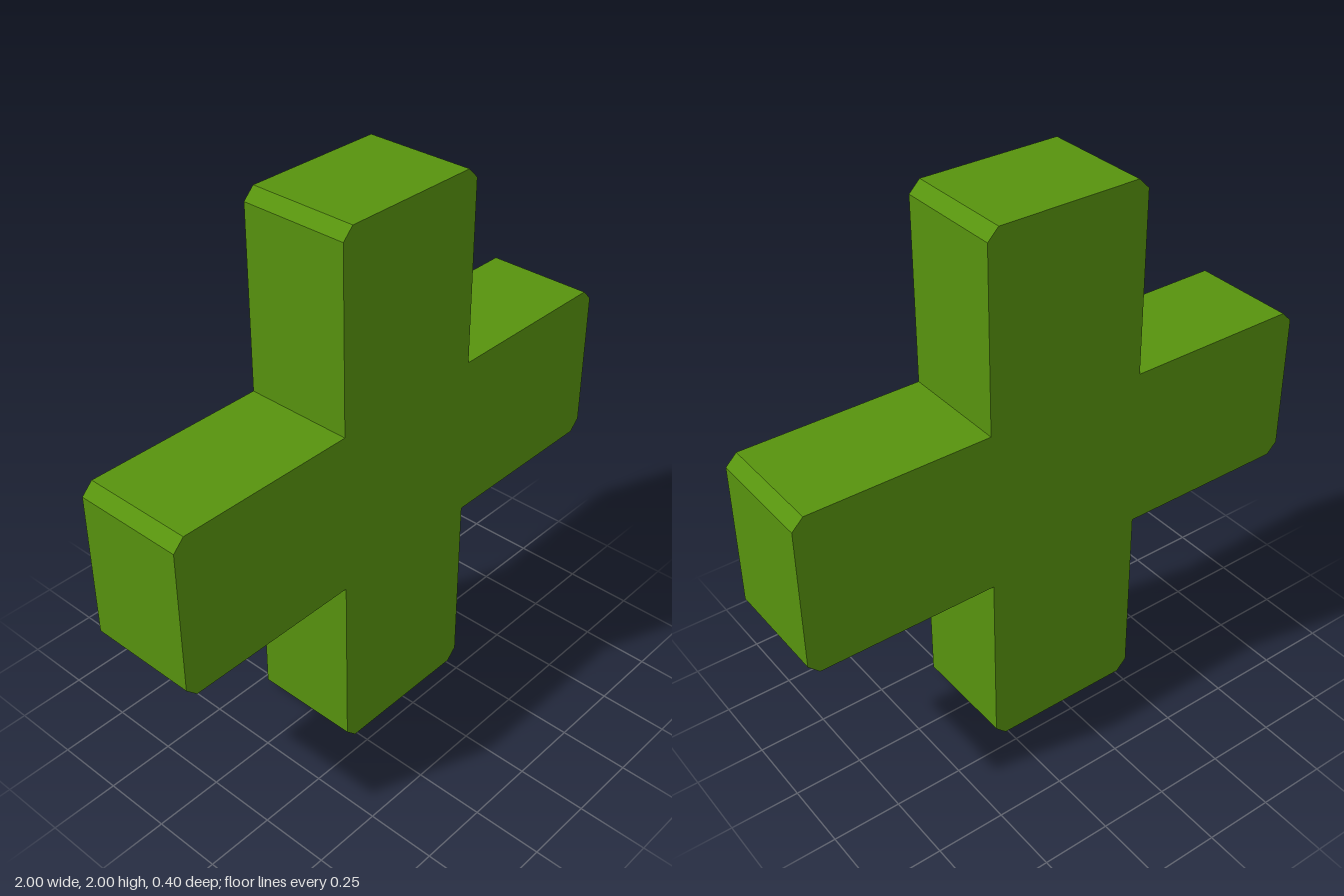
import * as THREE from 'three';

const HALF_WIDTH = 0.3;  // half the width of an arm
const REACH = 1;         // centre to arm tip
const CHAMFER = 0.04;
const DEPTH = 0.4;

// Outline of the cross, one arm at a time, counter-clockwise
function crossShape() {
  const arm = [
    [REACH, HALF_WIDTH - CHAMFER],
    [REACH - CHAMFER, HALF_WIDTH],
    [HALF_WIDTH, HALF_WIDTH],      // inner corner
    [HALF_WIDTH, REACH - CHAMFER],
    [HALF_WIDTH - CHAMFER, REACH],
  ];
  const points = [];
  for (let i = 0; i < 4; i++) {
    for (const [x, y] of arm.slice(0, 4)) {
      points.push(new THREE.Vector2(x, y).rotateAround(new THREE.Vector2(), i * Math.PI / 2));
    }
    const [x, y] = arm[4];
    points.push(new THREE.Vector2(x, y).rotateAround(new THREE.Vector2(), i * Math.PI / 2));
  }
  return new THREE.Shape(points);
}

export function createModel() {
  const green = new THREE.MeshStandardMaterial({ color: 0x57930e });
  green.name = 'leafGreen';

  // Upright cross with chamfered arm tips
  const geometry = new THREE.ExtrudeGeometry(crossShape(), { depth: DEPTH, bevelEnabled: false });
  geometry.translate(0, REACH, -DEPTH / 2);
  const cross = new THREE.Mesh(geometry, green);
  cross.name = 'cross';

  const model = new THREE.Group();
  model.name = 'crossModel';
  model.add(cross);
  return model;
}
